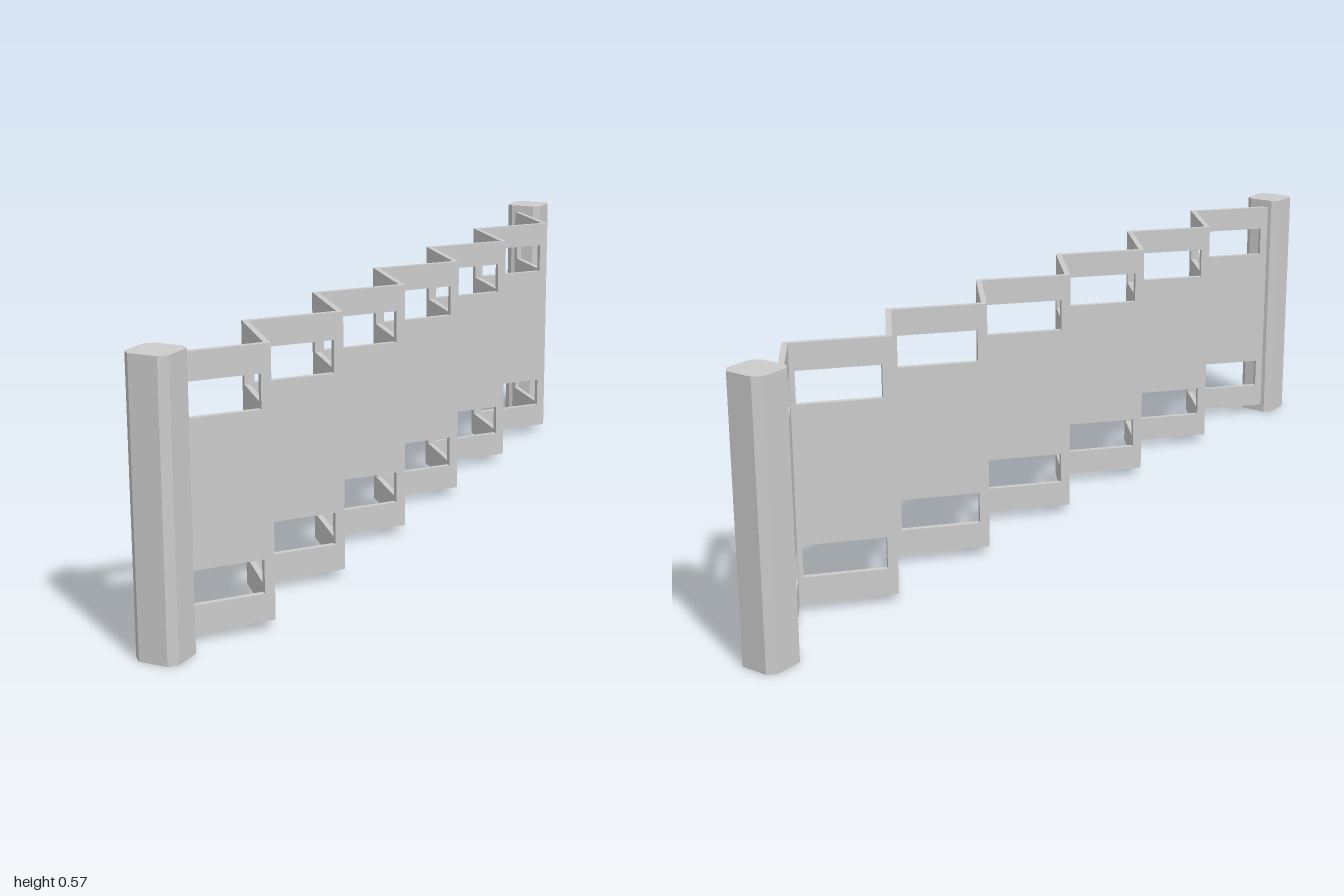
import * as THREE from 'three';

const material = new THREE.MeshStandardMaterial({ color: 0xcccccc, flatShading: true });

const COUNT = 12;                       // folded panels
const Z_END = 0.912;                    // inner faces of the posts
const X_VALLEY = -0.054, X_PEAK = 0.075;
const Y_MID = 0.287, PANEL_H = 0.537, THICK = 0.012;
const POST_H = 0.573, POST_W = 0.09, CHAMFER = 0.015, POST_X = -0.04;

// Rectangle outline centred on (0, cy)
function rect(target, w, h, cy) {
  target.moveTo(-w / 2, cy - h / 2);
  target.lineTo(w / 2, cy - h / 2);
  target.lineTo(w / 2, cy + h / 2);
  target.lineTo(-w / 2, cy + h / 2);
  target.closePath();
  return target;
}

// Slab with two windows, its ends mitred so neighbours meet at the fold
function panelGeometry(length, slope) {
  const shape = rect(new THREE.Shape(), length, PANEL_H, 0);
  for (const side of [-1, 1]) shape.holes.push(rect(new THREE.Path(), length * 0.845, 0.068, side * 0.179));
  const geo = new THREE.ExtrudeGeometry(shape, { depth: THICK, bevelEnabled: false });
  geo.translate(0, 0, -THICK / 2);
  const p = geo.attributes.position;
  for (let i = 0; i < p.count; i++) {
    if (Math.abs(p.getX(i)) > length / 2 - 1e-4) p.setX(i, p.getX(i) - p.getZ(i) * slope);
  }
  geo.computeVertexNormals();
  return geo;
}

// Square post with chamfered corners
function postGeometry() {
  const a = POST_W / 2, b = a - CHAMFER;
  const corners = [[a, -b], [a, b], [b, a], [-b, a], [-a, b], [-a, -b], [-b, -a], [b, -a]];
  const shape = new THREE.Shape(corners.map(([x, y]) => new THREE.Vector2(x, y)));
  const geo = new THREE.ExtrudeGeometry(shape, { depth: POST_H, bevelEnabled: false });
  return geo.rotateX(-Math.PI / 2);
}

export function createModel() {
  const model = new THREE.Group();
  model.name = 'foldingScreen';

  // End posts
  const postGeo = postGeometry();
  for (const side of [-1, 1]) {
    const post = new THREE.Mesh(postGeo, material);
    post.name = side > 0 ? 'frontPost' : 'backPost';
    post.position.set(POST_X, 0, side * (1 - POST_W / 2));
    model.add(post);
  }

  // Zigzag of panels running from the back post to the front post
  const folds = new THREE.Group();
  folds.name = 'foldedPanels';
  const dz = 2 * Z_END / COUNT;
  for (let i = 0; i < COUNT; i++) {
    const dx = (X_PEAK - X_VALLEY) * (i % 2 ? -1 : 1);
    const panel = new THREE.Mesh(panelGeometry(Math.hypot(dx, dz), dx / dz), material);
    panel.name = `panel${i + 1}`;
    panel.position.set((X_PEAK + X_VALLEY) / 2, Y_MID, -Z_END + (i + 0.5) * dz);
    panel.rotation.y = Math.atan2(-dz, dx);
    folds.add(panel);
  }
  model.add(folds);

  return model;
}
